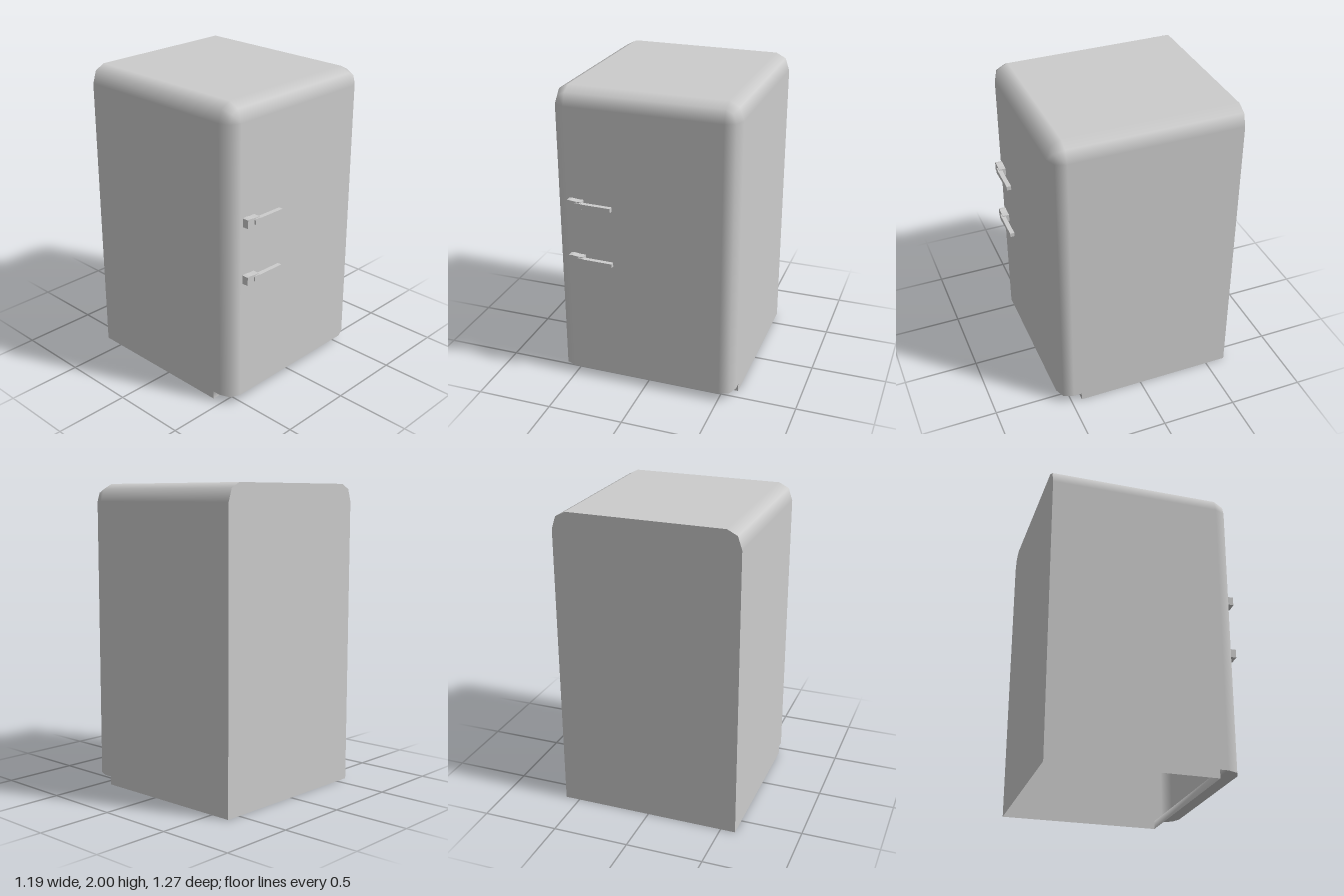
import * as THREE from 'three';

const HALF_W = 0.597, HEIGHT = 2, BACK = -0.637, FRONT = 0.58;
const RX = 0.092, RY = 0.115, RZ = 0.095;   // edge rounding on each axis
const STEP_Y = 0.055, STEP_Z = 0.43;        // recess under the front
const CX = HALF_W - RX, CY = HEIGHT - RY, CZ = FRONT - RZ;

function surface(points, index, normals) {
  const g = new THREE.BufferGeometry();
  g.setAttribute('position', new THREE.Float32BufferAttribute(points, 3));
  g.setIndex(index);
  if (normals) g.setAttribute('normal', new THREE.Float32BufferAttribute(normals, 3));
  else g.computeVertexNormals();
  return g;
}

// Arch-shaped cross-section: up one side, over the top, down the other.
// tilt 0 is the full section, 90 degrees is the front face.
function section(z, baseY, tilt) {
  const c = Math.cos(tilt), s = Math.sin(tilt), pos = [], nor = [];
  const add = (side, a, base) => {
    const ca = Math.cos(a), sa = Math.sin(a);
    pos.push(side * (CX + RX * ca * c), base ? baseY : CY + RY * sa * c, z);
    nor.push(side * ca * c, sa * c, s);
  };
  const angles = [0, Math.PI / 4, Math.PI / 2];
  add(-1, 0, true);
  angles.forEach(a => add(-1, a, false));
  angles.reverse().forEach(a => add(1, a, false));
  add(1, 0, true);
  return { pos, nor };
}

function shellGeometry() {
  const rows = [section(BACK, 0, 0), section(STEP_Z, 0, 0), section(STEP_Z, STEP_Y, 0)];
  for (const t of [0, Math.PI / 4, Math.PI / 2]) rows.push(section(CZ + RZ * Math.sin(t), STEP_Y, t));
  const n = 8, index = [];
  for (let i = 0; i < rows.length - 1; i++) {
    if (i === 1) continue;                  // both sections lie at the step
    for (let j = 0; j < n - 1; j++) {
      const a = i * n + j, b = a + n;
      index.push(a, b, a + 1, b, b + 1, a + 1);
    }
  }
  return surface(rows.flatMap(r => r.pos), index, rows.flatMap(r => r.nor));
}

// Kick plate and underside of the door, as one softly shaded strip
function toeGeometry() {
  const d = Math.SQRT1_2;
  const line = [[HALF_W, 0, STEP_Z], [HALF_W, STEP_Y, STEP_Z], [HALF_W, STEP_Y, CZ],
    [CX + RX * d, STEP_Y, CZ + RZ * d], [CX, STEP_Y, FRONT]];
  const points = [], index = [];
  line.forEach(([x, y, z], i) => {
    points.push(-x, y, z, x, y, z);
    if (i) {
      const a = 2 * i - 2;
      index.push(a, a + 1, a + 2, a + 1, a + 3, a + 2);
    }
  });
  return surface(points, index);
}

function backGeometry() {
  const { pos } = section(BACK, 0, 0), pts = [];
  for (let i = 0; i < pos.length; i += 3) pts.push(new THREE.Vector2(pos[i], pos[i + 1]));
  return new THREE.ShapeGeometry(new THREE.Shape(pts)).rotateY(Math.PI).translate(0, 0, BACK);
}

// Plate from the upper half of an outline, mirrored about y = 0
function plate(upper, z0, z1) {
  const pts = [...upper, ...upper.map(([x, y]) => [x, -y]).reverse()];
  const shape = new THREE.Shape(pts.map(p => new THREE.Vector2(...p)));
  return new THREE.ExtrudeGeometry(shape, { depth: z1 - z0, bevelEnabled: false }).translate(0, 0, z0);
}

export function createModel() {
  const model = new THREE.Group();
  model.name = 'refrigerator';
  const enamel = new THREE.MeshStandardMaterial({ color: 0xcccccc, side: THREE.DoubleSide });
  enamel.name = 'grey enamel';

  const add = (parent, name, geometry) => {
    const m = new THREE.Mesh(geometry, enamel);
    m.name = name;
    parent.add(m);
  };

  // Hollow cabinet, open at the bottom
  add(model, 'cabinetShell', shellGeometry());
  add(model, 'doorFront', new THREE.PlaneGeometry(2 * CX, CY - STEP_Y).translate(0, (CY + STEP_Y) / 2, FRONT));
  add(model, 'backPanel', backGeometry());
  add(model, 'toeRecess', toeGeometry());

  // Two lever handles
  for (const [name, y] of [['upperHandle', 1.265], ['lowerHandle', 0.885]]) {
    const handle = new THREE.Group();
    handle.name = name;
    handle.position.y = y;
    add(handle, 'handleMount', plate([[-0.49, 0.028], [-0.47, 0.031], [-0.43, 0.026], [-0.393, 0.026]], 0.555, 0.624));
    add(handle, 'handleLever', plate([[-0.435, 0.014], [-0.425, 0.021], [-0.4, 0.021], [-0.39, 0.017], [-0.195, 0.014]], 0.604, 0.634));
    model.add(handle);
  }
  return model;
}
